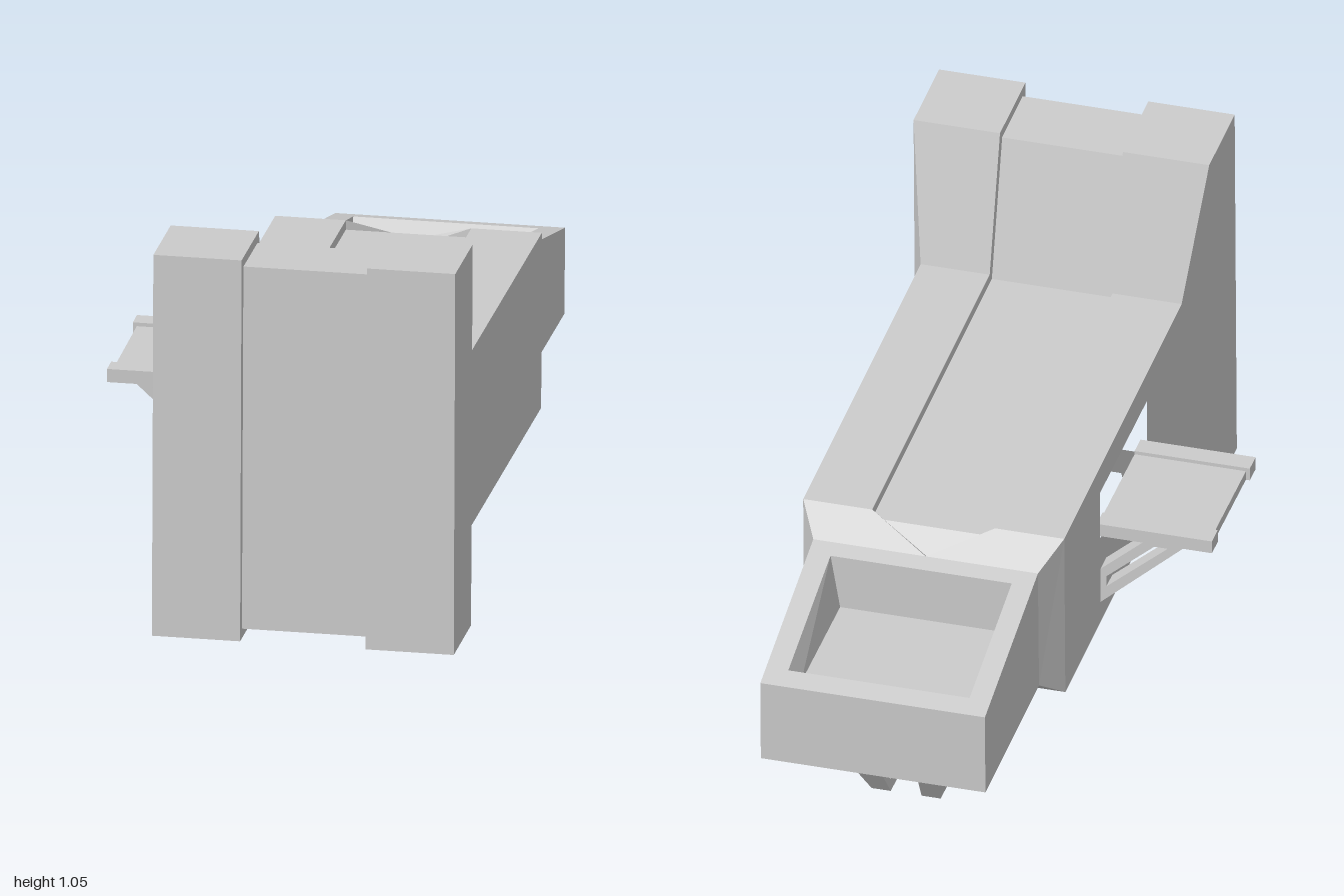
import * as THREE from 'three';

const material = new THREE.MeshStandardMaterial({ color: 0xcccccc, flatShading: true });

// Collects flat convex faces; each is wound to face the direction "out"
function faceBuilder() {
  const pos = [];
  const face = (pts, out) => {
    const v = pts.map((p) => new THREE.Vector3(...p));
    const n = new THREE.Vector3();
    for (let i = 1; i < v.length - 1; i++) {
      n.add(v[i].clone().sub(v[0]).cross(v[i + 1].clone().sub(v[0])));
    }
    if (n.dot(new THREE.Vector3(...out)) < 0) v.reverse();
    for (let i = 1; i < v.length - 1; i++) {
      for (const p of [v[0], v[i], v[i + 1]]) pos.push(p.x, p.y, p.z);
    }
  };
  const build = () => {
    const g = new THREE.BufferGeometry();
    g.setAttribute('position', new THREE.Float32BufferAttribute(pos, 3));
    g.computeVertexNormals();
    return g;
  };
  return { face, build };
}

function mesh(name, geometry, parent) {
  const m = new THREE.Mesh(geometry, material);
  m.name = name;
  parent.add(m);
  return m;
}

function polygon(points, hole) {
  const shape = new THREE.Shape(points.map((p) => new THREE.Vector2(...p)));
  shape.holes.push(new THREE.Path(hole.map((p) => new THREE.Vector2(...p))));
  return shape;
}

const GROOVE = 0.16; // half width of the central groove

// Stations front to back: half width, top and bottom [z, y], groove top and bottom [z, y]
const stations = [
  { w: 0.385, t: [0.98, 1.055], b: [1.0, 0.047], gt: [0.955, 1.03], gb: [0.975, 0.072] },
  { w: 0.385, t: [0.745, 1.05], b: [0.765, 0.043], gt: [0.765, 1.025], gb: [0.78, 0.068] },
  { w: 0.34, t: [0.65, 0.687], b: [0.655, 0.222], gt: [0.67, 0.662], gb: [0.67, 0.247] },
  { w: 0.34, t: [-0.435, 0.66], b: [-0.425, 0.197], gt: [-0.435, 0.635], gb: [-0.425, 0.222] },
  { w: 0.2925, t: [-0.51, 0.595], b: [-0.5, 0.255], gt: [-0.49, 0.58], gb: [-0.48, 0.27] },
  { w: 0.2925, t: [-1, 0.47], b: [-0.995, 0.243] },
];
const at = (x, [z, y]) => [x, y, z];

function bodyGeometry() {
  const { face, build } = faceBuilder();
  const [, , C, D, E, F] = stations;

  // Grooved band: along the top, down the front, back along the bottom
  const band = [
    ...stations.slice(0, 4).reverse().map((s) => ({ w: s.w, p: s.t, q: s.gt })),
    ...stations.slice(0, 4).map((s) => ({ w: s.w, p: s.b, q: s.gb })),
  ];
  for (let i = 0; i < band.length - 1; i++) {
    const a = band[i], b = band[i + 1];
    const out = [0, b.p[0] - a.p[0], a.p[1] - b.p[1]];
    for (const s of [-1, 1]) {
      face([at(s * GROOVE, a.p), at(s * a.w, a.p), at(s * b.w, b.p), at(s * GROOVE, b.p)], out);
      face([at(s * GROOVE, a.p), at(s * GROOVE, b.p), at(s * GROOVE, b.q), at(s * GROOVE, a.q)], [-s, 0, 0]);
    }
    face([at(-GROOVE, a.q), at(GROOVE, a.q), at(GROOVE, b.q), at(-GROOVE, b.q)], out);
  }

  // Step down to the tail, where the groove ends in a point
  for (const [k, g, up] of [['t', 'gt', 1], ['b', 'gb', -1]]) {
    for (const s of [-1, 1]) {
      face([at(s * D.w, D[k]), at(s * GROOVE, D[k]), at(0, E[k]), at(s * E.w, E[k])], [0, up, 0]);
      face([at(s * GROOVE, D[k]), at(0, E[k]), at(0, E[g]), at(s * GROOVE, D[g])], [-s, 0, 1]);
    }
    face([at(-GROOVE, D[g]), at(GROOVE, D[g]), at(0, E[g])], [0, up, 0]);
  }

  // Side walls, with a window in the right one
  for (const s of [-1, 1]) {
    for (let i = 0; i < stations.length - 1; i++) {
      const a = stations[i], b = stations[i + 1];
      if (s < 0 && a === C) continue;
      face([at(s * a.w, a.t), at(s * b.w, b.t), at(s * b.w, b.b), at(s * a.w, a.b)], [s, 0, 0]);
    }
  }
  const wall = [C.t, D.t, D.b, C.b];
  const win = [[0.33, 0.597], [-0.105, 0.592], [-0.105, 0.457], [0.33, 0.457]];
  for (let i = 0; i < 4; i++) {
    const j = (i + 1) % 4;
    face([wall[i], wall[j], win[j], win[i]].map((p) => at(-C.w, p)), [-1, 0, 0]);
  }

  // Tail underside and back
  face([at(-E.w, E.b), at(E.w, E.b), at(F.w, F.b), at(-F.w, F.b)], [0, -1, 0]);
  face([at(-F.w, F.t), at(F.w, F.t), at(F.w, F.b), at(-F.w, F.b)], [0, 0, -1]);

  // Tail top: sloping rim around a sunken tray
  const slope = (z) => [z, F.t[1] + (E.t[1] - F.t[1]) * (z - F.t[0]) / (E.t[0] - F.t[0])];
  const rim = [at(-E.w, E.t), at(E.w, E.t), at(F.w, F.t), at(-F.w, F.t)];
  const lip = [at(-0.237, slope(-0.555)), at(0.235, slope(-0.555)), at(0.235, slope(-0.945)), at(-0.237, slope(-0.945))];
  const floor = [[-0.237, 0.435, -0.555], [0.21, 0.435, -0.555], [0.21, 0.435, -0.915], [-0.237, 0.435, -0.915]];
  const inward = [[0, 0, -1], [-1, 0, 0], [0, 0, 1], [1, 0, 0]];
  for (let i = 0; i < 4; i++) {
    const j = (i + 1) % 4;
    face([rim[i], rim[j], lip[j], lip[i]], [0, 1, 0]);
    face([lip[i], lip[j], floor[j], floor[i]], inward[i]);
  }
  face(floor, [0, 1, 0]);
  return build();
}

// Open triangular foot, leaning outward as it rises
function footGeometry(side) {
  const shape = polygon(
    [[-0.61, 0], [-0.61, 0.26], [-0.865, 0.25], [-0.69, 0]],
    [[-0.64, 0.03], [-0.64, 0.222], [-0.815, 0.22], [-0.682, 0.03]],
  );
  const g = new THREE.ExtrudeGeometry(shape, { depth: 1, bevelEnabled: false });
  const p = g.attributes.position;
  for (let i = 0; i < p.count; i++) {
    const y = p.getY(i), t = side < 0 ? p.getZ(i) : 1 - p.getZ(i);
    const x = side * THREE.MathUtils.lerp(0.04 + 0.08 * y, 0.09 + 0.28 * y, t);
    p.setXYZ(i, x, y, p.getX(i));
  }
  g.computeVertexNormals();
  return g;
}

export function createModel() {
  const model = new THREE.Group();
  model.name = 'model';

  const hull = new THREE.Group();
  hull.name = 'hull';
  hull.position.x = 0.12;
  model.add(hull);
  mesh('body', bodyGeometry(), hull);
  for (const s of [-1, 1]) mesh(s > 0 ? 'leftFoot' : 'rightFoot', footGeometry(s), hull);

  // Side platform: slab, two edge rails and two open brackets
  const platform = new THREE.Group();
  platform.name = 'sidePlatform';
  model.add(platform);
  mesh('slab', new THREE.BoxGeometry(0.29, 0.025, 0.35), platform).position.set(-0.355, 0.473, 0.1025);
  const bracket = polygon(
    [[-0.44, 0.465], [-0.22, 0.264], [-0.22, 0.363], [-0.335, 0.465]],
    [[-0.395, 0.453], [-0.36, 0.453], [-0.235, 0.343], [-0.235, 0.313]],
  );
  for (const z of [-0.1, 0.25]) {
    mesh('rail', new THREE.BoxGeometry(0.3, 0.035, 0.055), platform).position.set(-0.36, 0.4775, z + 0.0275);
    const g = new THREE.ExtrudeGeometry(bracket, { depth: 0.055, bevelEnabled: false });
    mesh('bracket', g, platform).position.z = z;
  }
  return model;
}
